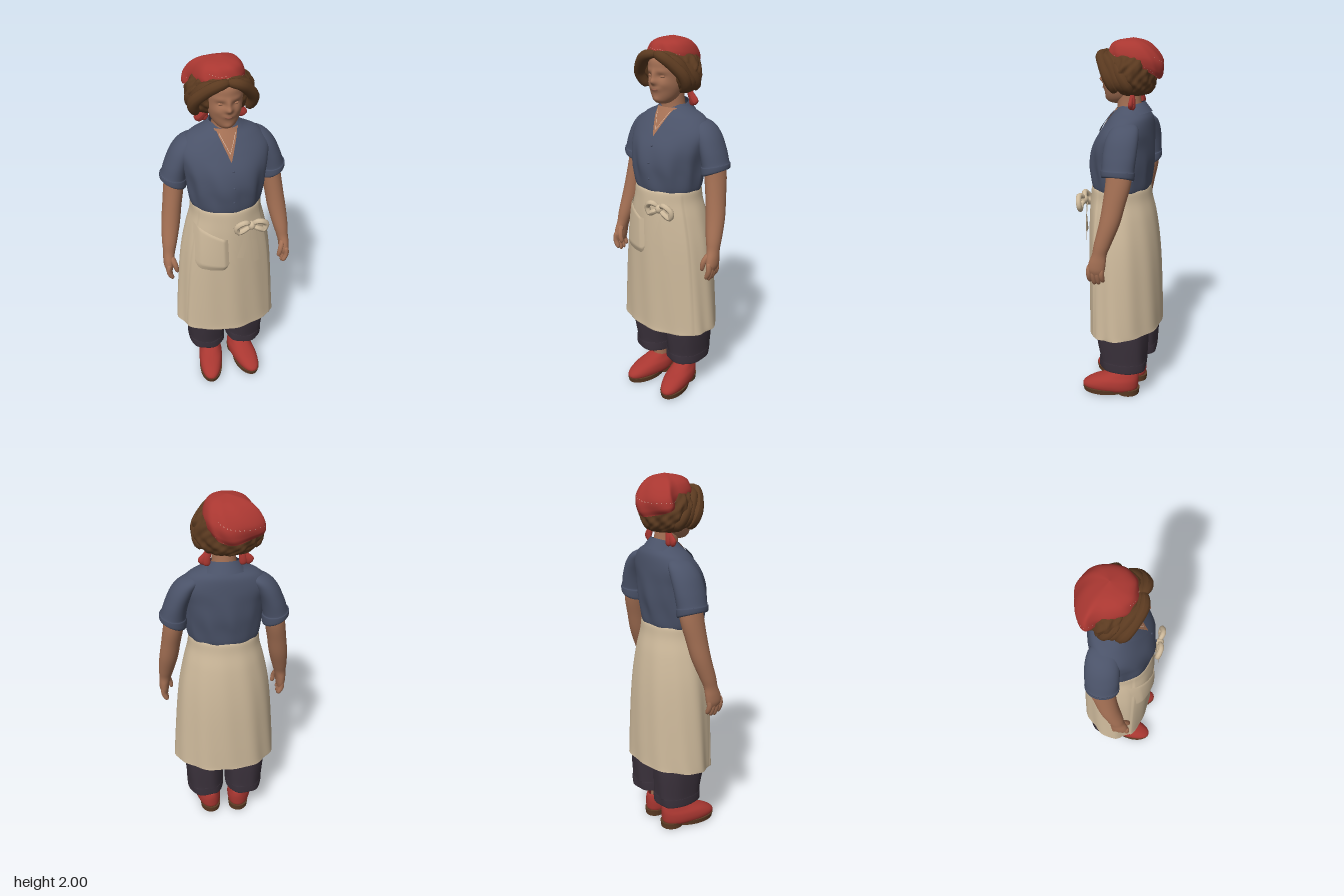
import * as THREE from 'three';

const mat = (name, color) => Object.assign(new THREE.MeshStandardMaterial({ color, side: THREE.DoubleSide }), { name });

// Ring = [y, centre x, centre z, half width, front depth, back depth]; smooth interpolation along the list
function ringAt(R, t) {
  const f = t * (R.length - 1), i = Math.min(Math.floor(f), R.length - 2), k = f - i;
  const g = (j) => R[Math.max(0, Math.min(R.length - 1, j))];
  return R[0].map((_, c) => {
    const [a, b, d, e] = [g(i - 1)[c], g(i)[c], g(i + 1)[c], g(i + 2)[c]];
    return b + 0.5 * k * (d - a + k * (2 * a - 5 * b + 4 * d - e + k * (3 * (b - d) + e - a)));
  });
}

function gridGeometry(pos, rows, cols, wrap) {
  const idx = [], w = wrap ? cols : cols + 1;
  for (let i = 0; i < rows; i++) for (let j = 0; j < cols; j++) {
    const a = i * w + j, b = i * w + (j + 1) % w;
    idx.push(a, b, a + w, b, b + w, a + w);
  }
  const geo = new THREE.BufferGeometry();
  geo.setAttribute('position', new THREE.Float32BufferAttribute(pos, 3));
  geo.setIndex(idx);
  geo.computeVertexNormals();
  return geo;
}

// Stack of rounded cross-sections; deform(vertex, t, angle) adds folds and features
function loft(R, { segs = 40, rows = R.length * 5, square = 1, deform } = {}) {
  const pos = [], v = new THREE.Vector3();
  const pw = (q) => Math.sign(q) * Math.abs(q) ** square;
  for (let i = 0; i <= rows; i++) {
    const [y, x, z, rx, rf, rb] = ringAt(R, i / rows);
    for (let j = 0; j < segs; j++) {
      const a = j / segs * Math.PI * 2, c = Math.cos(a);
      v.set(x + rx * pw(Math.sin(a)), y, z + (c > 0 ? rf : rb) * pw(c));
      if (deform) deform(v, i / rows, a);
      pos.push(v.x, v.y, v.z);
    }
  }
  return gridGeometry(pos, rows, segs, true);
}

// Depth of a lofted body's front at a given x, y
function frontZ(R, x, y) {
  let lo = 0, hi = 1;
  for (let i = 0; i < 24; i++) { const m = (lo + hi) / 2; if (ringAt(R, m)[0] < y) lo = m; else hi = m; }
  const r = ringAt(R, lo);
  return r[2] + r[4] * Math.sqrt(Math.max(0, 1 - ((x - r[1]) / r[3]) ** 2));
}

function patch(fn, n = 14) {
  const pos = [];
  for (let i = 0; i <= n; i++) for (let j = 0; j <= n; j++) pos.push(...fn(j / n, i / n));
  return gridGeometry(pos, n, n, false);
}

// Four-cornered cloth piece lying on a body's front; corners are bottom pair, then top pair
const drape = (R, [a, b, c, d], off) => patch((u, v) => {
  const m = (k) => (a[k] * (1 - u) + b[k] * u) * (1 - v) + (c[k] * (1 - u) + d[k] * u) * v;
  return [m(0), m(1), frontZ(R, m(0), m(1)) + off];
});

// Round-ended tube that tapers from r0 to r1
function strand(points, r0, r1, flat = 1) {
  const curve = new THREE.CatmullRomCurve3(points.map((p) => new THREE.Vector3(...p)));
  const n = 20, sides = 10, geo = new THREE.TubeGeometry(curve, n, 1, sides), p = geo.attributes.position;
  const v = new THREE.Vector3();
  for (let i = 0; i < p.count; i++) {
    const t = Math.floor(i / (sides + 1)) / n, c = curve.getPointAt(t);
    const r = (r0 + (r1 - r0) * t) * Math.sqrt(Math.max(0.0001, 1 - Math.abs(2 * t - 1) ** 5));
    v.fromBufferAttribute(p, i).sub(c).multiplyScalar(r);
    p.setXYZ(i, c.x + v.x, c.y + v.y, c.z + v.z * flat);
  }
  geo.computeVertexNormals();
  return geo;
}

export function createModel() {
  const root = new THREE.Group();
  const skin = mat('skin', 0xa47054), lip = mat('lips', 0x935c49), hair = mat('hair', 0x5b3a20), pale = mat('pale dots', 0xd8c0b0);
  const red = mat('red', 0xa93731), blue = mat('shirt blue', 0x4a5268), linen = mat('apron linen', 0xcdb99b);
  const dark = mat('trouser', 0x3a313b), brown = mat('sole', 0x5c3b24);
  const add = (name, geo, m, parent = root) => {
    const mesh = new THREE.Mesh(geo, m); mesh.name = name; parent.add(mesh); return mesh;
  };
  const ball = (name, m, p, s) => {
    const b = add(name, new THREE.SphereGeometry(1, 16, 16), m);
    b.position.set(...p); b.scale.set(...s);
  };
  const bump = (x, y, x0, y0, w, h) => Math.exp(-(((x - x0) / w) ** 2) - ((y - y0) / h) ** 2);

  // Shirt
  const torso = [
    [1.215, 0, 0, .178, .155, .132], [1.24, 0, 0, .19, .168, .143], [1.3, 0, 0, .2, .174, .15], [1.38, 0, 0, .208, .176, .16],
    [1.46, 0, 0, .222, .155, .16], [1.535, 0, -.03, .232, .142, .126], [1.6, 0, -.05, .182, .118, .097],
    [1.635, 0, -.05, .112, .092, .078], [1.665, 0, -.05, .072, .07, .062]];
  add('shirt', loft(torso, {
    segs: 72, deform: (v, t, a) => {
      const k = Math.max(0, 1 - Math.abs(t - .3) * 3.3) * .005;
      v.z += k * Math.sin(a * 9 + t * 9) * Math.sign(v.z); v.x += k * Math.cos(a * 11);
    } }), blue);
  add('neckline', drape(torso, [[-.003, 1.512], [.003, 1.512], [-.062, 1.65], [.062, 1.65]], .005), skin);
  add('collar', patch((u, v) => {
    const a = (u - .5) * 4.3, f = (1 - Math.cos(a)) / 2, r = .075 + (1 - v) * .042;
    return [r * Math.sin(a), 1.635 + v * .05 - f * .04, -.045 - r * Math.cos(a) * .88 + f * .015];
  }, 20), blue);
  for (const y of [1.47, 1.385, 1.3]) ball('button', blue, [.005, y, frontZ(torso, 0, y) + .002], [.006, .006, .004]);

  // Apron: folds open toward the hem, and the front panel steps out at its side edges
  const apron = [
    [.425, 0, 0, .289, .176, .22], [.46, 0, 0, .287, .174, .218], [.6, 0, 0, .277, .176, .214], [.8, 0, 0, .261, .179, .205],
    [.95, 0, 0, .243, .18, .192], [1.08, 0, 0, .217, .178, .173], [1.17, 0, 0, .194, .174, .152], [1.225, 0, 0, .188, .17, .144],
    [1.238, 0, 0, .181, .162, .136]];
  add('apron', loft(apron, {
    segs: 160, deform: (v, t, a) => {
      const panel = Math.cos(a) > .55 ? .02 * Math.min(1, 3 - 3 * t) * Math.min(1, t * 20 + .6) : 0;
      const k = 1 + (1 - t) ** 1.1 * (.016 * Math.sin(a * 7 + 1) + .013 * Math.sin(a * 12 + t * 4)) + panel;
      v.x *= k; v.z *= k;
      v.y -= .013 * Math.cos(a) * Math.max(0, 1 - t * 4);
    } }), linen);
  add('pocket', patch((u, v) => {
    const x0 = 2 * u - 1, corner = (Math.max(0, Math.abs(x0) - .55) / .45) ** 2.5;
    const x = -.11 + x0 * (.09 - .008 * v), y = .868 + .05 * corner * (1 - v) + v * (.275 - .07 * u);
    return [x, y, frontZ(apron, x, y) + .004 + .015 * Math.min(1, 7 * Math.min(u, 1 - u, v, 1 - v + .1))];
  }, 26), linen);

  // Bow and its tails
  ball('bowKnot', linen, [.093, 1.16, .196], [.02, .024, .022]);
  for (const s of [-1, 1]) add('bowLoop', strand([[.093, 1.165, .19], [.093 + s * .04, 1.188, .208], [.093 + s * .08, 1.158, .198],
    [.093 + s * .068, 1.122, .194], [.093 + s * .035, 1.138, .2], [.093, 1.155, .19]], .015, .015), linen);
  add('bowTail', drape(apron, [[.013, .962], [.05, .952], [.074, 1.15], [.1, 1.15]], .026), linen);
  add('bowTail', drape(apron, [[.113, .9], [.152, .9], [.09, 1.15], [.118, 1.15]], .025), linen);

  // Neck and head
  add('neck', loft([[1.54, 0, -.03, .08, .075, .06], [1.63, 0, -.03, .066, .065, .066], [1.69, 0, -.025, .06, .06, .065],
    [1.78, 0, -.02, .06, .06, .06]]), skin);
  const cx = -.008;
  add('head', loft([
    [1.667, cx, .04, .004, .006, .006], [1.678, cx, .035, .038, .048, .04], [1.705, cx, .02, .064, .08, .08],
    [1.75, cx, .01, .082, .098, .105], [1.8, cx, 0, .09, .112, .12], [1.85, cx, 0, .092, .115, .125],
    [1.9, cx, -.01, .088, .118, .115], [1.95, cx, -.02, .06, .075, .08], [1.975, cx, -.02, .004, .005, .005]], {
    segs: 96, rows: 90, deform: (v) => {
      if (v.z < .03) return;
      const x = Math.abs(v.x - cx);
      v.z += .022 * bump(x, v.y, 0, 1.787, .018, .017) + .012 * bump(x, v.y, 0, 1.815, .013, .025)
        - .008 * bump(x, v.y, .036, 1.815, .02, .014) + .003 * bump(x, v.y, .04, 1.84, .03, .014)
        + .007 * bump(x, v.y, .05, 1.775, .025, .022) + .008 * bump(x, v.y, 0, 1.752, .03, .014)
        + .007 * bump(x, v.y, 0, 1.695, .025, .015);
    } }), skin);
  for (const s of [-1, 1]) ball('eyelid', skin, [cx + s * .036, 1.814, .092], [.016, .008, .01]);
  add('mouth', strand([[cx - .024, 1.75, .104], [cx, 1.748, .117], [cx + .024, 1.75, .104]], .004, .004, .8), lip);

  // Wavy hair: a bumpy mass behind the face, and locks swept from the parting
  add('hair', loft([
    [1.712, -.015, -.05, .005, .005, .005], [1.722, -.015, -.05, .1, .06, .075], [1.76, -.017, -.045, .148, .088, .108],
    [1.82, -.018, -.04, .167, .1, .118], [1.88, -.018, -.04, .154, .105, .112], [1.93, -.018, -.04, .1, .1, .09],
    [1.95, -.018, -.04, .005, .005, .005]], {
    segs: 96, rows: 60, deform: (v, t, a) => {
      const k = 1 + .035 * Math.sin(a * 10 + Math.sin(t * 16) * 2) + .03 * Math.sin(a * 17 - t * 30) * Math.sin(t * 24);
      v.x *= k; v.z = -.04 + (v.z + .04) * k;
    } }), hair);
  for (const s of [-1, 1]) for (let i = 0; i < 3; i++) {
    const w = s < 0 ? 1.1 : .97, d = i * .026, wave = i % 2 * .01;
    add('hairLock', strand([[cx - s * .012, 1.922, .1 - d * .7], [cx + s * .05 * w, 1.912 - wave, .11 - d],
      [cx + s * .1 * w, 1.872 + wave, .084 - d * 1.3], [cx + s * (.14 - wave) * w, 1.815, .046 - d * 1.4],
      [cx + s * .135 * w, 1.765 + wave, .02 - d * 1.5], [cx + s * .112 * w, 1.738 + wave, .01 - d * 1.4]], .026, .032), hair);
  }

  // Dotted kerchief, tipped back and pulled into a fold on one side, with tied ends at the nape
  const kerchief = loft([
    [1.866, -.018, -.05, .114, .125, .134], [1.885, -.02, -.05, .122, .132, .147], [1.92, -.02, -.052, .122, .131, .146],
    [1.96, -.018, -.05, .104, .112, .115], [1.985, -.015, -.048, .07, .073, .07], [2, -.012, -.045, .0005, .0005, .0005]], {
    segs: 160, rows: 64, square: .9, deform: (v, t, a) => {
      const low = 1 - t, fold = Math.exp(-(((a - 4) / .45) ** 2)) * Math.sin(low * Math.PI / 2);
      v.y += low * (.24 * (v.z + .05) + .05 * (v.x + .02) - .035 * Math.max(0, -Math.cos(a)) ** 4);
      v.x -= .074 * fold;
      v.z += .016 * fold + .004 * Math.sin(a * 9 + t * 8) * low;
    } });
  for (let i = 0, step = 157 * 3; i < kerchief.index.count; i += step) {
    kerchief.addGroup(i, 3, i < 30000 ? 1 : 0);
    kerchief.addGroup(i + 3, Math.min(step, kerchief.index.count - i) - 3, 0);
  }
  add('kerchief', kerchief, [red, pale]);
  for (const s of [-1, 1]) {
    add('kerchiefTie', strand([[s * .07, 1.76, -.06], [s * .085, 1.71, -.068], [s * .128 - .008, 1.66, -.068]], .012, .03, .5), red);
    add('kerchiefTie', strand([[s * .07, 1.75, -.065], [s * .085, 1.7, -.075], [s * .09, 1.65, -.075]], .012, .022, .6), red);
  }

  // Paired parts
  for (const s of [-1, 1]) {
    add('necklace', drape(torso, [[0, 1.545], [0, 1.549], [s * .042, 1.63], [s * .042, 1.635]], .007), pale);
    add('lapel', drape(torso, [[0, 1.51], [s * .05, 1.535], [s * .054, 1.645], [s * .108, 1.598]], .01), blue);
    add('sleeve', loft([
      [1.33, s * .263, -.053, .064, .08, .076], [1.34, s * .265, -.053, .07, .087, .083], [1.37, s * .264, -.053, .07, .088, .085],
      [1.38, s * .262, -.053, .065, .085, .082], [1.45, s * .243, -.053, .062, .086, .086], [1.525, s * .208, -.053, .063, .08, .085],
      [1.575, s * .17, -.055, .055, .062, .07], [1.602, s * .14, -.055, .02, .03, .03]], {
      deform: (v, t) => { v.y += .4 * (Math.abs(v.x) - .262) * Math.max(0, 1 - t * 1.6); }
    }), blue);
    add('arm', loft([
      [.83, s * .328, .046, .018, .036, .036], [.86, s * .33, .046, .026, .046, .046], [.9, s * .328, .04, .029, .045, .045],
      [.945, s * .321, .03, .033, .039, .039], [1, s * .313, .015, .041, .045, .045], [1.1, s * .297, -.015, .05, .053, .053],
      [1.2, s * .282, -.035, .051, .058, .058], [1.33, s * .262, -.055, .053, .066, .066], [1.48, s * .245, -.055, .045, .06, .06]]), skin);
    for (let i = 0; i < 4; i++) {
      const z = .083 - i * .023, tip = [.785, .77, .773, .788][i];
      add('finger', strand([[s * .331, .885, z], [s * .335, .835, z + .002], [s * .315, tip, z]], .0155, .0135), skin);
    }
    add('thumb', strand([[s * .318, .925, .055], [s * .3, .88, .083], [s * .288, .825, .084]], .017, .012), skin);

    // Trouser leg with a turned cuff
    add('trouserLeg', loft([
      [.192, s * .113, -.032, .104, .126, .13], [.2, s * .114, -.032, .108, .131, .134], [.245, s * .115, -.032, .109, .133, .136],
      [.255, s * .115, -.032, .107, .131, .134], [.42, s * .118, -.025, .115, .148, .146], [.6, s * .115, -.02, .114, .14, .14]], {
      square: .85, deform: (v, t, a) => { v.z += .004 * Math.sin(a * 6 + t * 4); }
    }), dark);
    add('ankle', loft([[.08, s * .083, -.03, .042, .055, .055], [.15, s * .083, -.025, .041, .054, .054],
      [.3, s * .09, -.025, .048, .058, .058]]), skin);

    // Slip-on shoe with sole and heel, toes turned out
    const shoe = new THREE.Group();
    shoe.name = 'shoe'; shoe.position.x = s * .095; shoe.rotation.y = s * .19; root.add(shoe);
    add('upper', loft([
      [.026, 0, .02, .06, .178, .12], [.042, 0, .02, .068, .193, .129], [.065, 0, .02, .071, .183, .132], [.092, 0, .01, .067, .15, .124],
      [.115, 0, -.01, .056, .105, .104], [.137, 0, -.025, .046, .063, .085], [.141, 0, -.025, .04, .055, .078]], { square: .9 }), red, shoe);
    for (const [name, y, z, rx, rz, h] of [['sole', .02, .085, .068, .126, .028], ['shank', .026, -.02, .05, .09, .022], ['heel', .018, -.05, .059, .068, .036]]) {
      const m = add(name, new THREE.CylinderGeometry(1.02, .96, 1, 32), brown, shoe);
      m.position.set(0, y, z); m.scale.set(rx, h, rz);
    }
  }
  return root;
}
